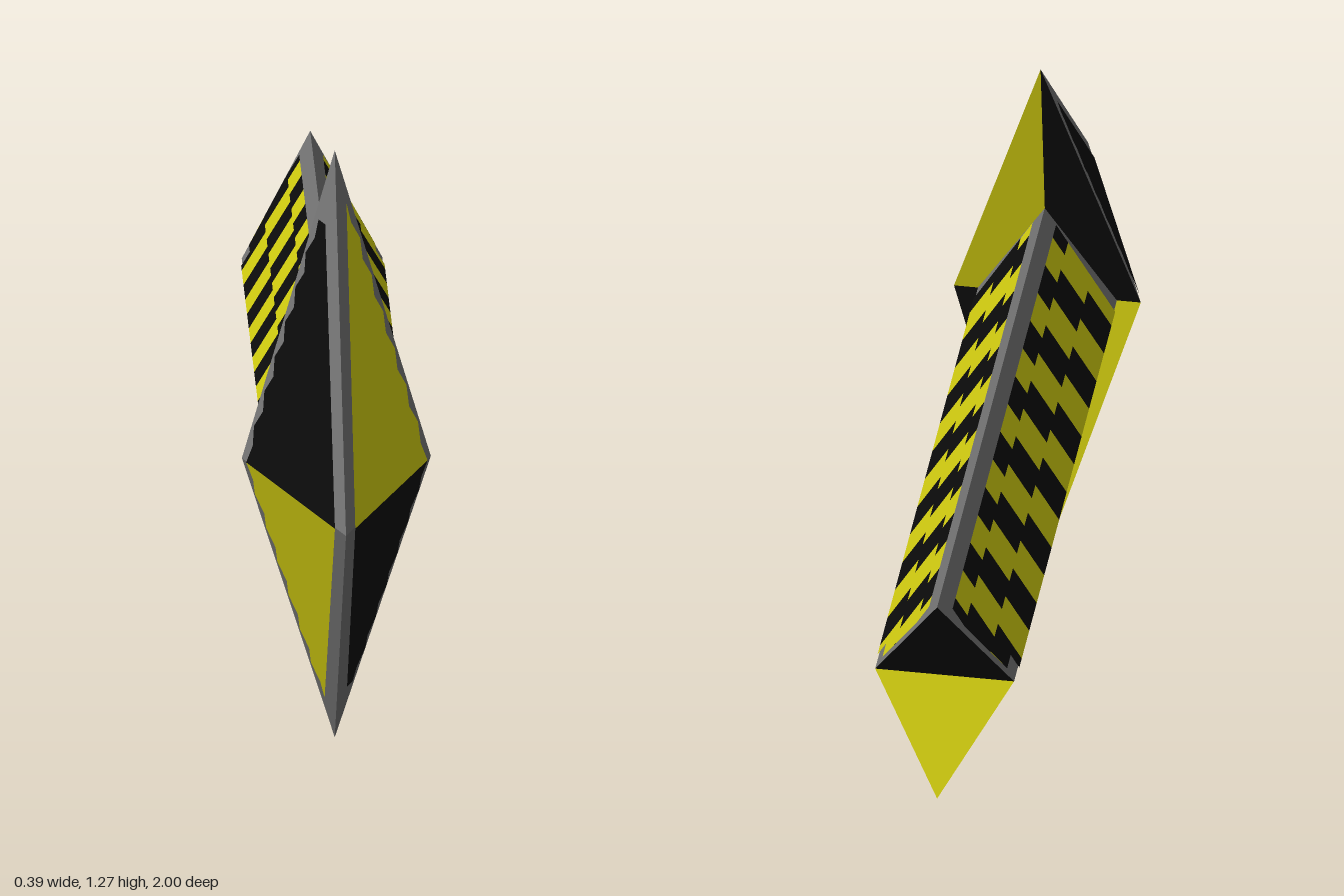
import * as THREE from 'three';

const MID = 0.635;                                   // height of the arrow's axis
const HEAD = { w: 0.195, h: 0.635, tip: 1, side: 0.46, top: 0.37 };
const SHAFT = { w: 0.145, h: 0.243, notch: -0.9, end: -1 };
const LIFT = 0.003;                                  // painted panels sit just off the body

// Collects polygons given in the +x/+y quarter and mirrors them into quarter (sx, sy)
class Faces {
  constructor() { this.pos = []; }
  fan(points, sx, sy) {
    for (let i = 1; i < points.length - 1; i++) {
      const tri = [points[0], points[i], points[i + 1]];
      if (sx * sy < 0) tri.reverse();
      for (const [x, y, z] of tri) this.pos.push(sx * x, MID + sy * y, z);
    }
  }
  mesh(name, material) {
    const g = new THREE.BufferGeometry();
    g.setAttribute('position', new THREE.Float32BufferAttribute(this.pos, 3));
    g.computeVertexNormals();
    const m = new THREE.Mesh(g, material);
    m.name = name;
    return m;
  }
}

// Points on the painted surfaces, from z and height v above the axis
const onHead = ([z, v]) => [
  HEAD.w * (1 - (v / HEAD.h) * (HEAD.tip - HEAD.top) - z) / (HEAD.tip - HEAD.side) + LIFT, v, z];
const onShaft = ([z, v]) => [SHAFT.w * (1 - v / SHAFT.h) + LIFT, v, z];

// Rear limit of the stripes, following the notch
const rear = v => v < 0.03 ? -0.85
  : Math.max(-0.95, SHAFT.notch + (SHAFT.end - SHAFT.notch) * v / SHAFT.h + 0.015);

export function createModel() {
  const mat = (name, color) => {
    const m = new THREE.MeshStandardMaterial({ color });
    m.name = name;
    return m;
  };
  const grey = mat('grey trim', 0x727272);
  const yellow = mat('yellow paint', 0xd0cb10);
  const black = mat('black paint', 0x0b0b0b);

  const headBody = new Faces(), shaftBody = new Faces();
  const headPaint = [new Faces(), new Faces()];      // [yellow, black]
  const headBack = [new Faces(), new Faces()];
  const stripes = [new Faces(), new Faces()];
  const notch = [new Faces(), new Faces()];

  for (const sx of [1, -1]) for (const sy of [1, -1]) {
    const tone = sx * sy > 0 ? 0 : 1;                // colours alternate round the axis

    // Arrowhead: grey front facet, coloured back facet
    const side = [HEAD.w, 0, HEAD.side], top = [0, HEAD.h, HEAD.top];
    headBody.fan([[0, 0, HEAD.tip], side, top], sx, sy);
    headBack[tone].fan([[0, 0, HEAD.side], top, side], sx, sy);

    // Painted front panel with a ragged rear edge
    const peak = tone ? 0.5 : 0.535, panel = [[0.95, 0], [0.49, 0]];
    const teeth = 14;
    for (let i = 1; i < teeth; i++) {
      const t = i / teeth;
      panel.push([0.487 - 0.075 * t + (i % 2 ? 0.01 : -0.01), peak * t]);
    }
    panel.push([0.415, peak], [0.95 - peak, peak]);
    headPaint[tone].fan(panel.map(onHead), sx, sy);

    // Shaft: one sloping side and a quarter of the notched end
    const rim = [SHAFT.w, 0, SHAFT.notch], end = [0, SHAFT.h, SHAFT.end];
    shaftBody.fan([[SHAFT.w, 0, 0.46], rim, end, [0, SHAFT.h, 0.425]], sx, sy);
    notch[sy > 0 ? 1 : 0].fan([[0, 0, SHAFT.notch], end, rim], sx, sy);

    // Stepped hazard stripes, each row shifted towards the rear
    const rows = [0, 0.03, 0.083, 0.165, 0.207];
    const shift = [0, 0, 0.047, 0.094];
    for (let r = 0; r < 4; r++) {
      const [v0, v1] = [rows[r], rows[r + 1]];
      const hi0 = rear((v0 + v1) / 2 < 0.03 ? 0 : v0), hi1 = rear(v0 === 0 ? 0 : v1);
      for (let k = -2; k < 15; k++) {
        const front = Math.min(0.42, 0.37 - 0.099 * k - shift[r]);
        const back = Math.min(0.42, 0.37 - 0.099 * (k + 1) - shift[r]);
        if (front - back < 0.001 || front <= Math.min(hi0, hi1)) continue;
        const quad = [
          [Math.max(front, hi0), v0], [Math.max(back, hi0), v0],
          [Math.max(back, hi1), v1], [Math.max(front, hi1), v1]];
        stripes[(Math.abs(k) + tone) % 2].fan(quad.map(onShaft), sx, sy);
      }
    }
  }

  const head = new THREE.Group();
  head.name = 'arrowhead';
  head.add(headBody.mesh('headFrontFacets', grey));
  const shaft = new THREE.Group();
  shaft.name = 'shaft';
  shaft.add(shaftBody.mesh('shaftSides', grey));
  [['Yellow', yellow], ['Black', black]].forEach(([label, m], i) => {
    head.add(headPaint[i].mesh('headPanels' + label, m), headBack[i].mesh('headBack' + label, m));
    shaft.add(stripes[i].mesh('stripes' + label, m), notch[i].mesh('notch' + label, m));
  });

  const model = new THREE.Group();
  model.name = 'hazardArrow';
  model.add(head, shaft);
  return model;
}
